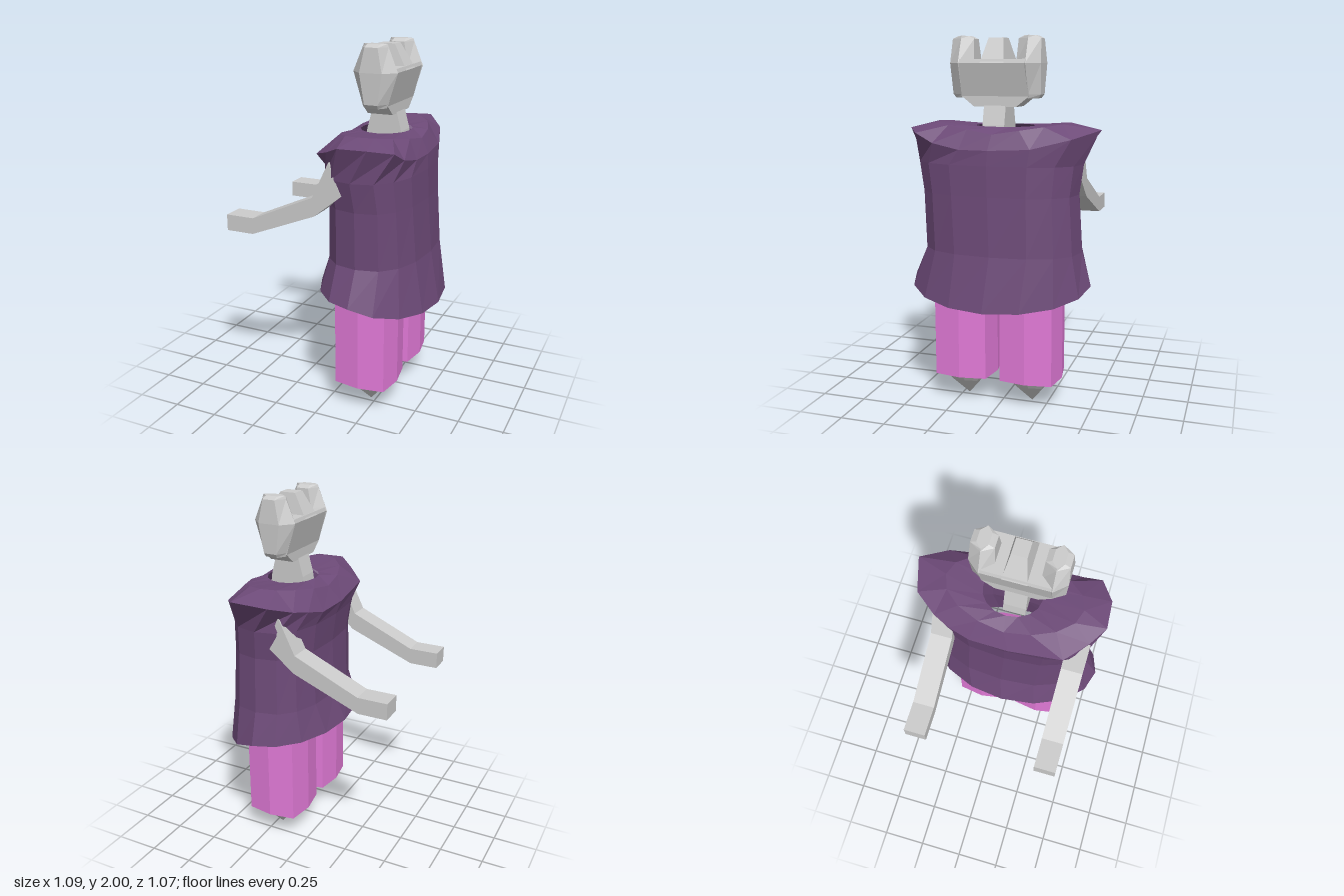
import * as THREE from 'three';

const grey = new THREE.MeshStandardMaterial({ color: 0xcccccc, flatShading: true, side: THREE.DoubleSide });
const purple = new THREE.MeshStandardMaterial({ color: 0x6d4a78, flatShading: true, side: THREE.DoubleSide });
const pink = new THREE.MeshStandardMaterial({ color: 0xe27ad8, flatShading: true, side: THREE.DoubleSide });

// Skin a stack of rings (bottom to top, each running from +x towards +z)
function loft(rings, { bottom = false, top = false } = {}) {
  const pos = [];
  const tri = (...pts) => pts.forEach((p) => pos.push(...p));
  const n = rings[0].length;
  const mid = (r) => [0, 1, 2].map((k) => r.reduce((s, p) => s + p[k], 0) / n);
  for (let j = 0; j < n; j++) {
    const k = (j + 1) % n;
    for (let i = 0; i < rings.length - 1; i++) {
      const a = rings[i][j], b = rings[i][k], c = rings[i + 1][k], d = rings[i + 1][j];
      tri(a, d, b);
      tri(b, d, c);
    }
    const first = rings[0], last = rings[rings.length - 1];
    if (bottom) tri(mid(first), first[j], first[k]);
    if (top) tri(mid(last), last[k], last[j]);
  }
  const g = new THREE.BufferGeometry();
  g.setAttribute('position', new THREE.Float32BufferAttribute(pos, 3));
  g.computeVertexNormals();
  return g;
}

// Sixteen-sided oval between x and z limits; y is a number or a rule of (x, angle);
// a power below 1 squares off the corners
function oval(y, x0, x1, z0, z1, power = 1) {
  const bulge = (v) => Math.sign(v) * Math.abs(v) ** power;
  return Array.from({ length: 16 }, (_, i) => {
    const a = (i / 16) * Math.PI * 2;
    const x = (x0 + x1) / 2 + bulge(Math.cos(a)) * (x1 - x0) / 2;
    const z = (z0 + z1) / 2 + bulge(Math.sin(a)) * (z1 - z0) / 2;
    return [x, typeof y === 'function' ? y(x, a) : y, z];
  });
}

// Ring from a unit outline scaled about a centre
const ring = (outline, y, cx, cz, rx, rz) => outline.map(([u, v]) => [cx + u * rx, y, cz + v * rz]);
const hexagon = [[1, 0], [0.5, 1], [-0.5, 1], [-1, 0], [-0.5, -1], [0.5, -1]];
const square = [[1, -1], [1, 1], [-1, 1], [-1, -1]];
const softSquare = [[1, 0], [0.86, 0.86], [0, 1], [-0.86, 0.86], [-1, 0], [-0.86, -0.86], [0, -1], [0.86, -0.86]];

export function createModel() {
  const model = new THREE.Group();
  const add = (name, geometry, material) => {
    const mesh = new THREE.Mesh(geometry, material);
    mesh.name = name;
    model.add(mesh);
  };

  // Tunic: slanted hem, waist, uneven pointed shoulders, open collar
  const shoulders = [
    [0.45, 1.42, 0.02], [0.445, 1.42, 0.18], [0.435, 1.45, 0.33], [0.42, 1.5, 0.43],
    [0.305, 1.52, 0.505], [0.15, 1.52, 0.515], [0.06, 1.48, 0.45], [-0.05, 1.44, 0.34],
    [-0.07, 1.41, 0.05], [-0.065, 1.41, -0.16], [-0.04, 1.44, -0.28], [0, 1.46, -0.37],
    [0.085, 1.5, -0.485], [0.27, 1.525, -0.535], [0.375, 1.48, -0.4], [0.435, 1.43, -0.2],
  ];
  add('tunic', loft([
    oval((x) => 0.69 - Math.max(0, x - 0.2) * 0.32, -0.11, 0.54, -0.48, 0.535),
    oval(0.87, -0.05, 0.48, -0.43, 0.44, 0.82),
    oval(1.18, -0.03, 0.46, -0.41, 0.45, 0.78),
    oval(1.34, -0.05, 0.455, -0.43, 0.48, 0.8),
    shoulders,
    oval((x, a) => 1.5 + 0.055 * Math.abs(Math.sin(a)), -0.01, 0.41, -0.36, 0.38),
    oval(1.535, 0.068, 0.34, -0.16, 0.16),
  ]), purple);

  // Open waistband inside the tunic
  add('waistband', loft([oval(0.74, 0.05, 0.37, -0.31, 0.37), oval(0.95, 0.1, 0.34, -0.27, 0.33)]), pink);

  // Trouser legs with pointed feet
  [['left', 0.22], ['right', -0.155]].forEach(([side, z]) => {
    add(side + 'Leg', loft([0.145, 0.75].map((y) => ring(softSquare, y, 0.208, z, 0.168, 0.17)),
      { bottom: true }), pink);
    add(side + 'Foot', loft([
      ring(softSquare, 0, 0.22, z - 0.003, 0.002, 0.002),
      ring(softSquare, 0.1, 0.22, z - 0.003, 0.085, 0.085),
      ring(softSquare, 0.16, 0.22, z - 0.003, 0.125, 0.125),
    ], { top: true }), grey);
  });

  // Bent arms reaching forward, cut from a flat side outline
  const arm = new THREE.Shape([
    [-0.545, 0.985], [-0.385, 0.985], [-0.01, 1.135], [0.145, 1.26],
    [0.075, 1.43], [-0.02, 1.235], [-0.38, 1.075], [-0.545, 1.075],
  ].map(([x, y]) => new THREE.Vector2(x, y)));
  [['leftArm', 0.337], ['rightArm', -0.4]].forEach(([name, z]) => {
    const g = new THREE.ExtrudeGeometry(arm, { depth: 0.12, bevelEnabled: false });
    add(name, g.translate(0, 0, z), grey);
  });

  // Neck
  add('neck', loft([
    ring(square, 1.48, 0.225, 0.03, 0.105, 0.06),
    ring(square, 1.54, 0.225, 0.03, 0.097, 0.06),
    ring(square, 1.66, 0.225, 0.03, 0.065, 0.06),
  ], { bottom: true, top: true }), grey);

  // Head block joining the three prongs
  add('headBlock', loft([
    ring(square, 1.635, 0.225, 0.03, 0.07, 0.115),
    ring(square, 1.69, 0.225, 0.03, 0.07, 0.185),
    ring(square, 1.86, 0.225, 0.03, 0.118, 0.18),
    ring(square, 1.88, 0.225, 0.03, 0.112, 0.18),
  ], { bottom: true, top: true }), grey);

  // Outer prongs
  [['leftProng', 0.214], ['rightProng', -0.15]].forEach(([name, z]) => {
    add(name, loft([
      ring(hexagon, 1.68, 0.225, z, 0.065, 0.045),
      ring(hexagon, 1.7, 0.225, z, 0.072, 0.06),
      ring(hexagon, 1.86, 0.225, z, 0.122, 0.067),
      ring(hexagon, 1.985, 0.225, z, 0.07, 0.06),
      ring(hexagon, 2.0, 0.225, z, 0.064, 0.03),
    ], { bottom: true, top: true }), grey);
  });

  // Middle prong
  add('middleProng', loft([
    ring(square, 1.86, 0.225, 0.03, 0.12, 0.065),
    ring(square, 1.99, 0.225, 0.03, 0.045, 0.04),
  ], { bottom: true, top: true }), grey);

  return model;
}
